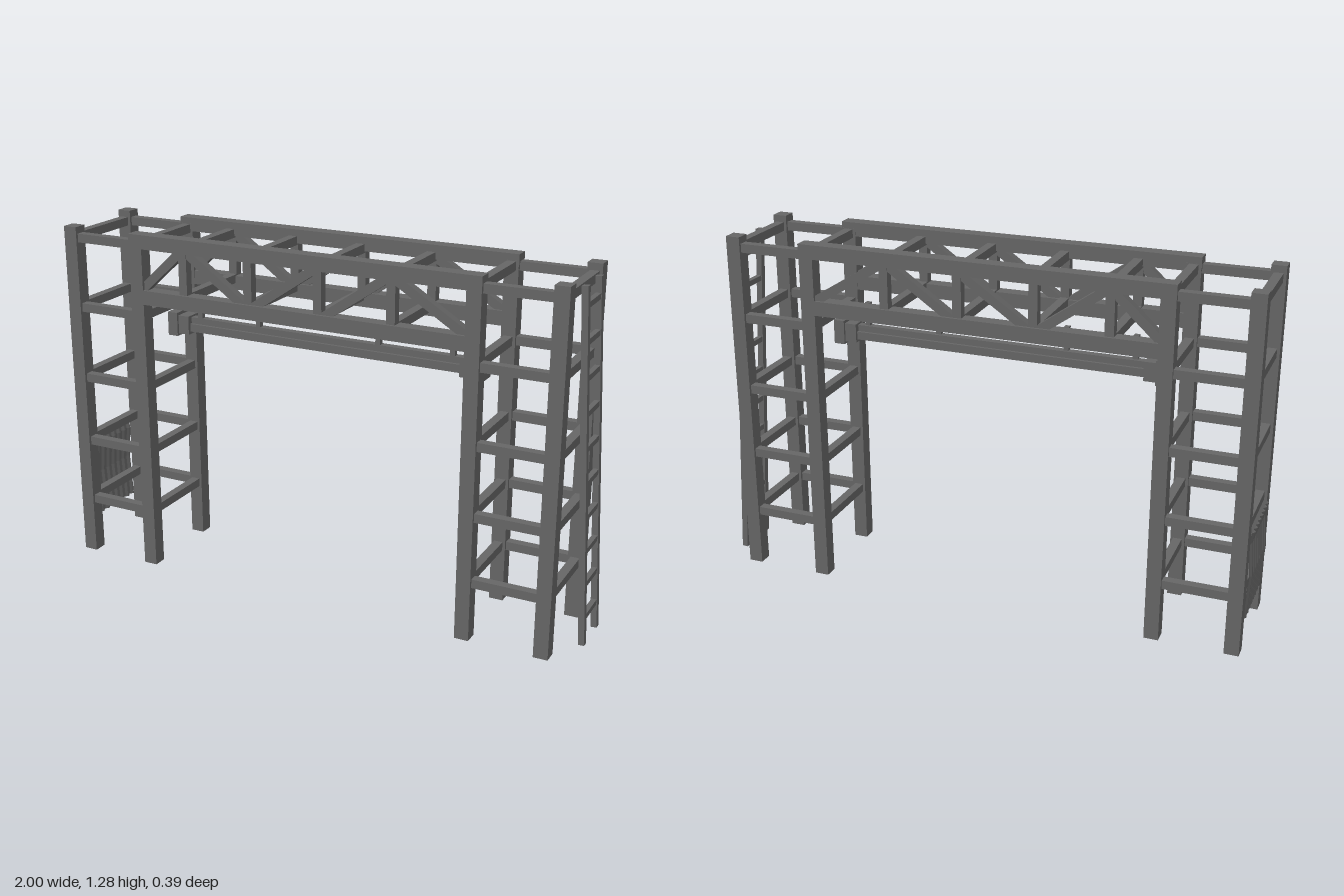
import * as THREE from 'three';

export function createModel() {
  const model = new THREE.Group();
  const steel = new THREE.MeshStandardMaterial({ color: 0x666666 });
  steel.name = 'grey steel';
  const sheetSteel = steel.clone();
  sheetSteel.name = 'grey sheet steel';
  sheetSteel.side = THREE.DoubleSide;

  function group(name) {
    const g = new THREE.Group();
    g.name = name;
    model.add(g);
    return g;
  }
  // Box given by its limits on each axis
  function box(parent, name, x0, x1, y0, y1, z0, z1) {
    const mesh = new THREE.Mesh(new THREE.BoxGeometry(x1 - x0, y1 - y0, z1 - z0), steel);
    mesh.position.set((x0 + x1) / 2, (y0 + y1) / 2, (z0 + z1) / 2);
    mesh.name = name;
    parent.add(mesh);
    return mesh;
  }
  // Square bar leaning in the xy plane
  function leaningBar(parent, name, xa, ya, xb, yb, z, width, depth) {
    const length = Math.hypot(xb - xa, yb - ya);
    const mesh = new THREE.Mesh(new THREE.BoxGeometry(length, width, depth), steel);
    mesh.position.set((xa + xb) / 2, (ya + yb) / 2, z);
    mesh.rotation.z = Math.atan2(yb - ya, xb - xa);
    mesh.name = name;
    parent.add(mesh);
  }

  const Z = 0.167, H = 0.016;
  const levels = [0.215, 0.457, 0.71, 0.982, 1.242];

  // Towers: four posts each, tied on all sides
  for (const [name, xa, xb] of [['rightTower', -0.96, -0.678], ['leftTower', 0.89, 0.605]]) {
    const tower = group(name);
    const lo = Math.min(xa, xb), hi = Math.max(xa, xb);
    for (const s of [-1, 1]) {
      for (const x of [xa, xb]) {
        const top = x === xa ? 1.283 : 1.26;
        box(tower, 'post', x - 0.026, x + 0.026, 0, top, s * Z - 0.026, s * Z + 0.026);
      }
      for (const y of levels) box(tower, 'sideTie', lo, hi, y - H, y + H, s * Z - H, s * Z + H);
    }
    for (const x of [xa, xb])
      for (const y of levels) box(tower, 'crossTie', x - H, x + H, y - H, y + H, -Z, Z);
  }

  // Overhead truss
  const truss = group('truss');
  const uprights = [-0.487, -0.225, 0.045, 0.315];
  const diagonals = [
    [-0.67, 1.075, -0.49, 1.24], [-0.48, 1.24, -0.225, 1.06], [-0.225, 1.06, 0.04, 1.24],
    [0.045, 1.06, 0.305, 1.24], [0.32, 1.24, 0.605, 1.065],
  ];
  for (const s of [-1, 1]) {
    const z = s * 0.168;
    box(truss, 'topChord', -0.705, 0.632, 1.232, 1.283, z - 0.026, z + 0.026);
    box(truss, 'bottomChord', -0.678, 0.605, 1.03, 1.082, z - 0.025, z + 0.025);
    for (const x of uprights) box(truss, 'upright', x - H, x + H, 1.06, 1.25, z - H, z + H);
    for (const [xa, ya, xb, yb] of diagonals)
      leaningBar(truss, 'diagonal', xa, ya, xb, yb, z, 0.032, 0.03);
  }
  for (const x of uprights)
    for (const y of [1.071, 1.242]) box(truss, 'crossBeam', x - H, x + H, y - H, y + H, -Z, Z);

  // Hanging rail with stepped end blocks
  const rail = group('hangingRail');
  box(rail, 'railBody', -0.58, 0.51, 0.898, 0.927, -0.024, 0.024);
  box(rail, 'railCap', -0.58, 0.51, 0.927, 0.95, -0.014, 0.014);
  for (const s of [-1, 1]) {
    const at = (a, b) => [-0.033 + s * a, -0.033 + s * b].sort((p, q) => p - q);
    box(rail, 'endBlock', ...at(0.578, 0.618), 0.88, 0.968, -0.043, 0.045);
    box(rail, 'endCollar', ...at(0.535, 0.578), 0.888, 0.957, -0.034, 0.036);
  }
  for (const x of [-0.53, -0.285, 0.19, 0.467])
    box(rail, 'hanger', x - 0.009, x + 0.009, 0.94, 1.035, -0.005, 0.014);

  // Ladder leaning on the left tower
  const ladder = group('ladder');
  for (const z of [0.042, -0.101])
    leaningBar(ladder, 'ladderRail', 0.987, 0.006, 0.918, 1.254, z, 0.022, 0.023);
  for (let i = 0; i < 10; i++) {
    const y = 0.105 + i * 0.1205, x = 0.987 - (y - 0.006) * 0.0553;
    box(ladder, 'rung', x - 0.009, x + 0.009, y - 0.01, y + 0.01, -0.101, 0.042);
  }

  // Bent corrugated sheet on the outside of the right tower
  const bends = [[0.11, -0.984], [0.275, -0.994], [0.397, -0.984], [0.44, -0.992]];
  const columns = 64;
  const sheetGeo = new THREE.PlaneGeometry(1, 1, columns, bends.length - 1);
  const p = sheetGeo.attributes.position;
  for (let r = 0; r < bends.length; r++) {
    for (let c = 0; c <= columns; c++) {
      const t = c / columns;
      const [y, x] = bends[bends.length - 1 - r];
      const wave = 0.005 * Math.cos(t * Math.PI * 16);
      p.setXYZ(r * (columns + 1) + c, x + wave, y, -0.132 + t * 0.27);
    }
  }
  const flatSheet = sheetGeo.toNonIndexed();
  flatSheet.computeVertexNormals();
  const sheet = new THREE.Mesh(flatSheet, sheetSteel);
  sheet.name = 'corrugatedSheet';
  model.add(sheet);

  return model;
}
